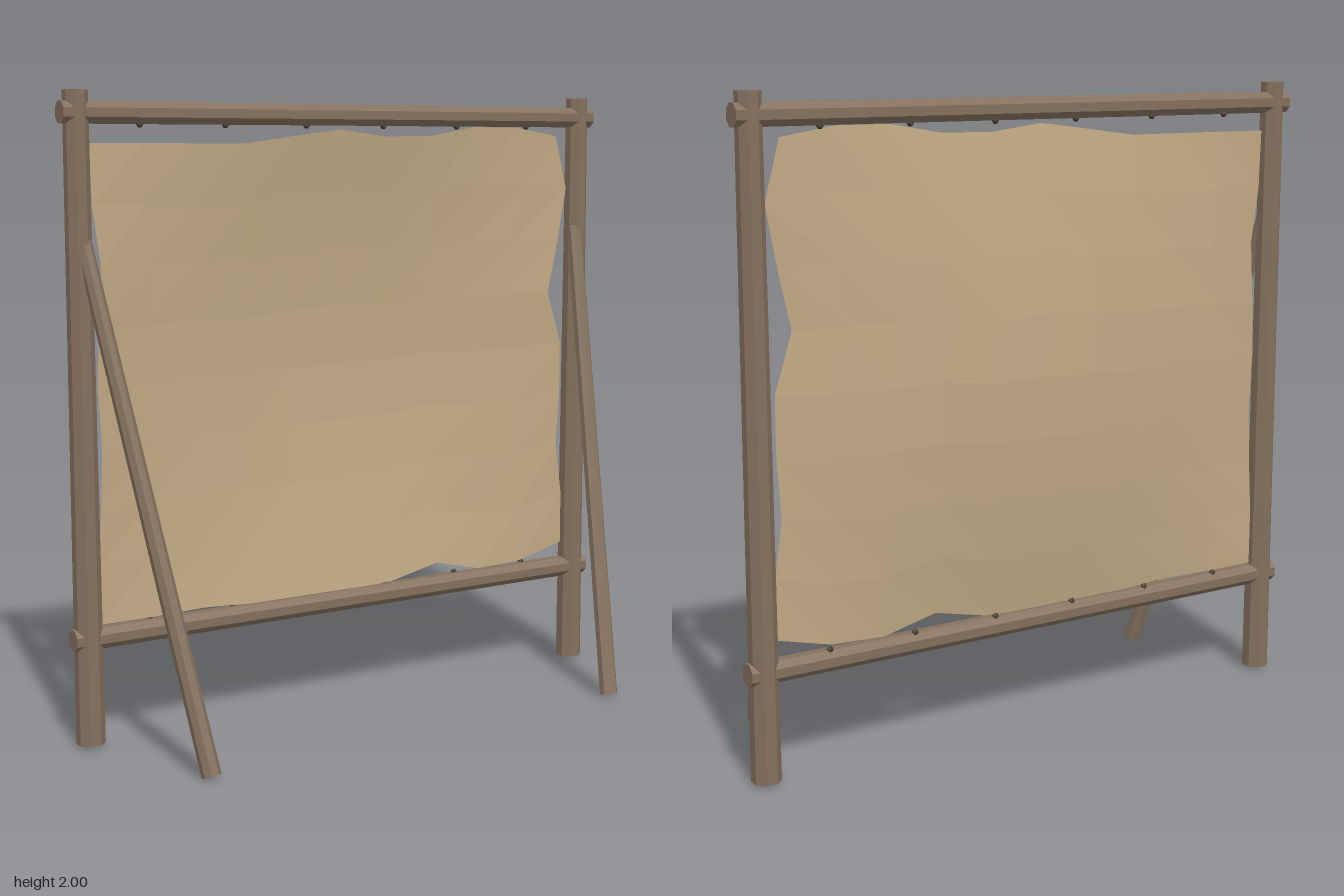
import * as THREE from 'three';

const wood = new THREE.MeshStandardMaterial({ color: 0x84705d, flatShading: true });
wood.name = 'weathered wood';
const hide = new THREE.MeshStandardMaterial({ color: 0xc0a883, flatShading: true, side: THREE.DoubleSide });
hide.name = 'tan hide';
const cord = new THREE.MeshStandardMaterial({ color: 0x4a3d2e, flatShading: true });
cord.name = 'dark cord';

const Z = -0.21; // plane of the frame

// Faceted pole running between two points
function pole(name, from, to, rFrom, rTo, sides = 8) {
  const a = new THREE.Vector3(...from), b = new THREE.Vector3(...to);
  const dir = b.clone().sub(a);
  const geo = new THREE.CylinderGeometry(rTo, rFrom, dir.length(), sides);
  geo.rotateY(Math.PI / sides);
  const mesh = new THREE.Mesh(geo, wood);
  mesh.name = name;
  mesh.position.copy(a).add(b).multiplyScalar(0.5);
  mesh.quaternion.setFromUnitVectors(new THREE.Vector3(0, 1, 0), dir.normalize());
  return mesh;
}

// Linear lookup in evenly spaced samples
function sample(list, t) {
  const f = t * (list.length - 1);
  const i = Math.min(Math.floor(f), list.length - 2);
  return THREE.MathUtils.lerp(list[i], list[i + 1], f - i);
}

// Ragged sheet stretched between four uneven edges, billowing backwards
function makeSheet() {
  const top = [1.845, 1.845, 1.845, 1.845, 1.868, 1.89, 1.868, 1.87, 1.9, 1.9, 1.872];
  const bottom = [0.38, 0.38, 0.385, 0.375, 0.37, 0.37, 0.38, 0.42, 0.378, 0.385, 0.43];
  const left = [-0.89, -0.89, -0.878, -0.87, -0.88, -0.872, -0.86, -0.885, -0.89];
  const right = [0.885, 0.885, 0.86, 0.872, 0.872, 0.815, 0.855, 0.888, 0.84];
  const geo = new THREE.PlaneGeometry(1, 1, 10, 8);
  const p = geo.attributes.position;
  for (let i = 0; i < p.count; i++) {
    const u = p.getX(i) + 0.5, v = p.getY(i) + 0.5;
    p.setXYZ(i,
      THREE.MathUtils.lerp(sample(left, v), sample(right, v), u),
      THREE.MathUtils.lerp(sample(bottom, u), sample(top, u), v),
      Z - 0.07 * Math.sin(Math.PI * u) * Math.sin(Math.PI * v));
  }
  geo.computeVertexNormals();
  const mesh = new THREE.Mesh(geo, hide);
  mesh.name = 'stretchedHide';
  return mesh;
}

export function createModel() {
  const model = new THREE.Group();
  model.name = 'hideRack';

  // Uprights and leaning front braces
  for (const [side, s] of [['left', 1], ['right', -1]]) {
    model.add(pole(side + 'Post', [s * 0.93, 0.01, Z], [s * 0.93, 2, Z], 0.045, 0.038));
    model.add(pole(side + 'Brace', [s * 0.745, 0.01, 0.25], [s * 0.923, 1.59, Z], 0.03, 0.025));
  }

  // Cross rails and the knots along their inner edges
  for (const [name, y, inner] of [['top', 1.935, -1], ['bottom', 0.342, 1]]) {
    model.add(pole(name + 'Rail', [-0.98, y, Z], [0.98, y, Z], 0.036, 0.036));
    const knots = new THREE.Group();
    knots.name = name + 'Knots';
    for (let i = 0; i < 6; i++) {
      const knot = new THREE.Mesh(new THREE.IcosahedronGeometry(0.011), cord);
      knot.name = 'knot';
      knot.position.set(-0.72 + i * 0.288, y + inner * 0.034, Z - 0.012);
      knots.add(knot);
    }
    model.add(knots);
  }

  model.add(makeSheet());
  return model;
}
